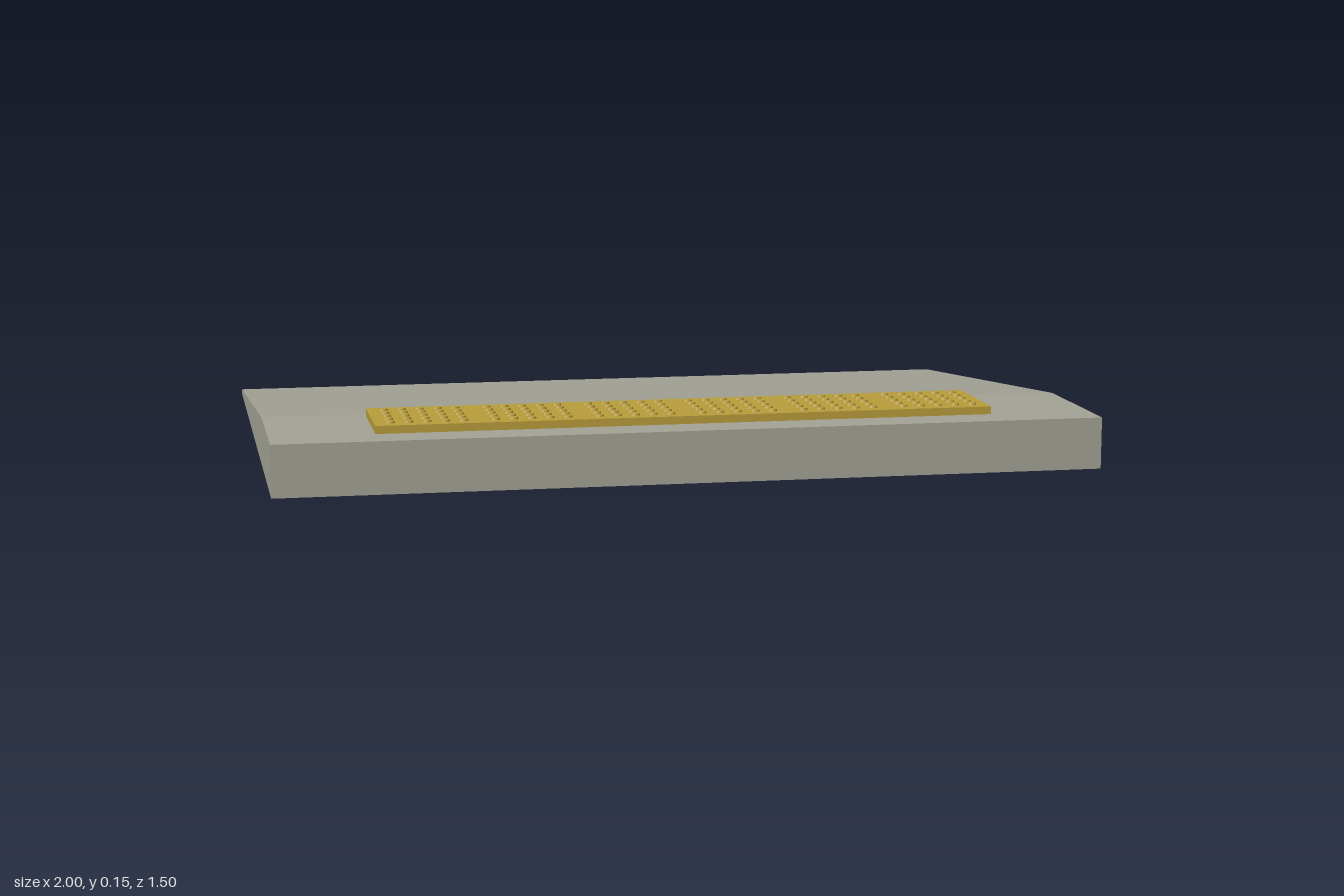
import * as THREE from 'three';
import { mergeGeometries } from 'three/addons/utils/BufferGeometryUtils.js';

export function createModel() {
  const group = new THREE.Group();
  const concrete = new THREE.MeshStandardMaterial({ color: 0xa3a396 });
  concrete.name = 'concrete grey';
  const yellow = new THREE.MeshStandardMaterial({ color: 0xb89d3a });
  yellow.name = 'tactile yellow';

  const add = (name, geometry, material) => {
    const mesh = new THREE.Mesh(geometry, material);
    mesh.name = name;
    group.add(mesh);
    return mesh;
  };

  // Ramp: side profile (z, y) extruded across the width
  const profile = new THREE.Shape([
    new THREE.Vector2(-0.75, 0),
    new THREE.Vector2(0.75, 0),
    new THREE.Vector2(0.75, 0.126),
    new THREE.Vector2(0.38, 0.126),
    new THREE.Vector2(-0.75, 0.0125),
  ]);
  const ramp = new THREE.ExtrudeGeometry(profile, { depth: 2, bevelEnabled: false });
  ramp.translate(0, 0, -1).rotateY(-Math.PI / 2);
  add('ramp', ramp, concrete);

  // Tactile warning strip on the landing
  const stripZ = 0.53, top = 0.145;
  const strip = new THREE.BoxGeometry(1.5, 0.02, 0.25);
  add('tactileStrip', strip, yellow).position.set(0, top - 0.01, stripZ);

  // Raised studs: six panels of five by five
  const studs = [];
  const pitch = 0.0435;
  for (let panel = 0; panel < 6; panel++) {
    for (let i = -2; i <= 2; i++) {
      for (let j = -2; j <= 2; j++) {
        const stud = new THREE.CylinderGeometry(0.0105, 0.0125, 0.006, 12);
        stud.translate((panel - 2.5) * 0.25 + i * pitch, top + 0.002, stripZ + j * pitch);
        studs.push(stud);
      }
    }
  }
  add('studs', mergeGeometries(studs), yellow);

  return group;
}
